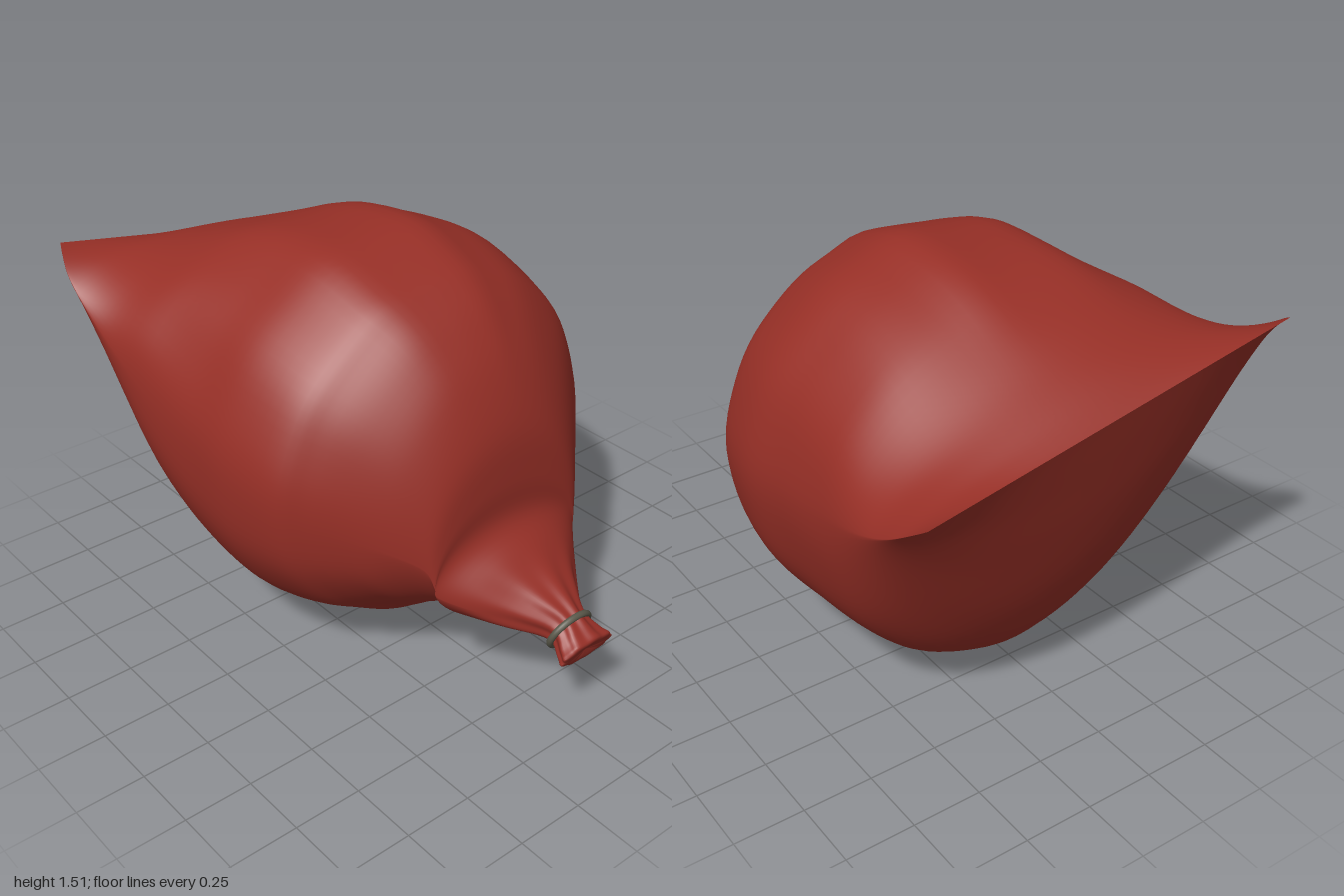
import * as THREE from 'three';

const { smoothstep } = THREE.MathUtils;

// Cross-sections from the flat rear seam to the tied neck:
// z, left edge x, right edge x, top y, bottom y, height of the widest line
const SECTIONS = [
  [-1.0, -0.715, 0.70, 1.21, 1.21, 1.21],
  [-0.95, -0.735, 0.72, 1.24, 1.02, 1.18],
  [-0.87, -0.755, 0.745, 1.28, 0.75, 1.13],
  [-0.75, -0.755, 0.745, 1.33, 0.42, 1.05],
  [-0.6, -0.745, 0.74, 1.39, 0.18, 0.96],
  [-0.4, -0.735, 0.735, 1.46, 0.06, 0.86],
  [-0.2, -0.725, 0.74, 1.495, 0.018, 0.8],
  [0.0, -0.72, 0.755, 1.495, 0.03, 0.77],
  [0.2, -0.675, 0.715, 1.43, 0.1, 0.75],
  [0.3, -0.6, 0.65, 1.375, 0.165, 0.73],
  [0.4, -0.51, 0.555, 1.29, 0.24, 0.7],
  [0.5, -0.415, 0.455, 1.16, 0.295, 0.65],
  [0.58, -0.33, 0.375, 0.98, 0.3, 0.59],
  [0.605, -0.305, 0.35, 0.8, 0.3, 0.52],
  [0.615, -0.295, 0.34, 0.66, 0.3, 0.48],
  [0.7, -0.205, 0.265, 0.57, 0.305, 0.43],
  [0.8, -0.095, 0.18, 0.48, 0.3, 0.385],
  [0.88, -0.025, 0.125, 0.42, 0.285, 0.35],
  [0.94, -0.045, 0.15, 0.375, 0.265, 0.315],
  [0.975, -0.055, 0.165, 0.35, 0.26, 0.305],
  [0.965, 0.055, 0.056, 0.306, 0.304, 0.305],
];

// Lengthwise bulges and dents of the body: angle, height, width
const BULGES = [[1.4, 0.025, 0.12], [1.93, 0.025, 0.15], [-1.45, 0.02, 0.15], [-2.15, -0.035, 0.3]];

// Smooth interpolation between neighbouring sections
function sectionAt(t) {
  const last = SECTIONS.length - 1;
  const i = Math.min(Math.floor(t), last - 1), f = t - i;
  const [a, b, c, d] = [-1, 0, 1, 2].map((k) => SECTIONS[Math.min(last, Math.max(0, i + k))]);
  return b.map((v, k) => {
    const m0 = (c[k] - a[k]) / 2, m1 = (d[k] - b[k]) / 2, dv = c[k] - v;
    return v + f * (m0 + f * (3 * dv - 2 * m0 - m1 + f * (m0 + m1 - 2 * dv)));
  });
}

function sackGeometry() {
  const steps = 5, sides = 96, rows = (SECTIONS.length - 1) * steps;
  const pos = [], index = [];
  for (let r = 0; r <= rows; r++) {
    const [z, xl, xr, top, bottom, mid] = sectionAt(r / steps);
    const cx = (xl + xr) / 2, half = (xr - xl) / 2;
    // Rear sections become pointed lenses, lean to one side and end in a slightly skewed seam
    const lens = 1 + smoothstep(-z, 0.45, 1.02);
    const lean = 0.185 * smoothstep(-z, 0.1, 1);
    const skew = 0.017 * smoothstep(-z, 0.8, 1);
    const neck = smoothstep(z, 0.75, 0.9);
    const loose = smoothstep(z, -0.85, -0.3) * (1 - smoothstep(z, 0.3, 0.6));
    const pleat = smoothstep(z, 0.65, 0.88);
    // The underside narrows to a V where the neck leaves the body
    const vee = 1 + 0.5 * smoothstep(z, 0.42, 0.58) * (1 - smoothstep(z, 0.62, 0.8));
    for (let j = 0; j < sides; j++) {
      const a = (j / sides) * Math.PI * 2;
      const s = Math.sin(a);
      const turn = a > Math.PI ? a - Math.PI * 2 : a;
      // Soft folds on the body, tight pleats on the neck
      let fold = 1 + loose * 0.003 * Math.sin(13 * a - 3 * z + 1) + pleat * 0.05 * Math.cos(9 * a);
      for (const [at, height, width] of BULGES) {
        fold += loose * height * Math.exp(-(((turn - at) / width) ** 2));
      }
      const x = cx + half * Math.cos(a) * fold;
      const dy = s >= 0
        ? (top - mid) * s ** lens * fold
        : (bottom - mid) * (-s) ** (lens * vee) * fold;
      const y = mid + dy - lean * x;
      pos.push(x, Math.max(0, y), z + neck * 0.4 * dy + skew * (0.7 - x));
      if (r < rows) {
        const p = r * sides + j, q = r * sides + ((j + 1) % sides);
        index.push(p, q, p + sides, q, q + sides, p + sides);
      }
    }
  }
  const geo = new THREE.BufferGeometry();
  geo.setAttribute('position', new THREE.Float32BufferAttribute(pos, 3));
  geo.setIndex(index);
  geo.computeVertexNormals();
  return geo;
}

export function createModel() {
  const group = new THREE.Group();
  group.name = 'tiedSack';

  const redCloth = new THREE.MeshStandardMaterial({ color: 0x962f26 });
  redCloth.name = 'redCloth';
  redCloth.side = THREE.DoubleSide;
  const greyCord = new THREE.MeshStandardMaterial({ color: 0x5a584a });
  greyCord.name = 'greyCord';

  // Bulging sack with a flat seam behind and a gathered neck in front
  const sack = new THREE.Mesh(sackGeometry(), redCloth);
  sack.name = 'sack';
  group.add(sack);

  // Ring tied around the neck
  const ring = new THREE.Mesh(new THREE.TorusGeometry(0.085, 0.012, 12, 48), greyCord);
  ring.name = 'neckRing';
  ring.scale.y = 0.86;
  ring.position.set(0.05, 0.345, 0.89);
  ring.rotation.x = 0.38;
  group.add(ring);

  return group;
}
